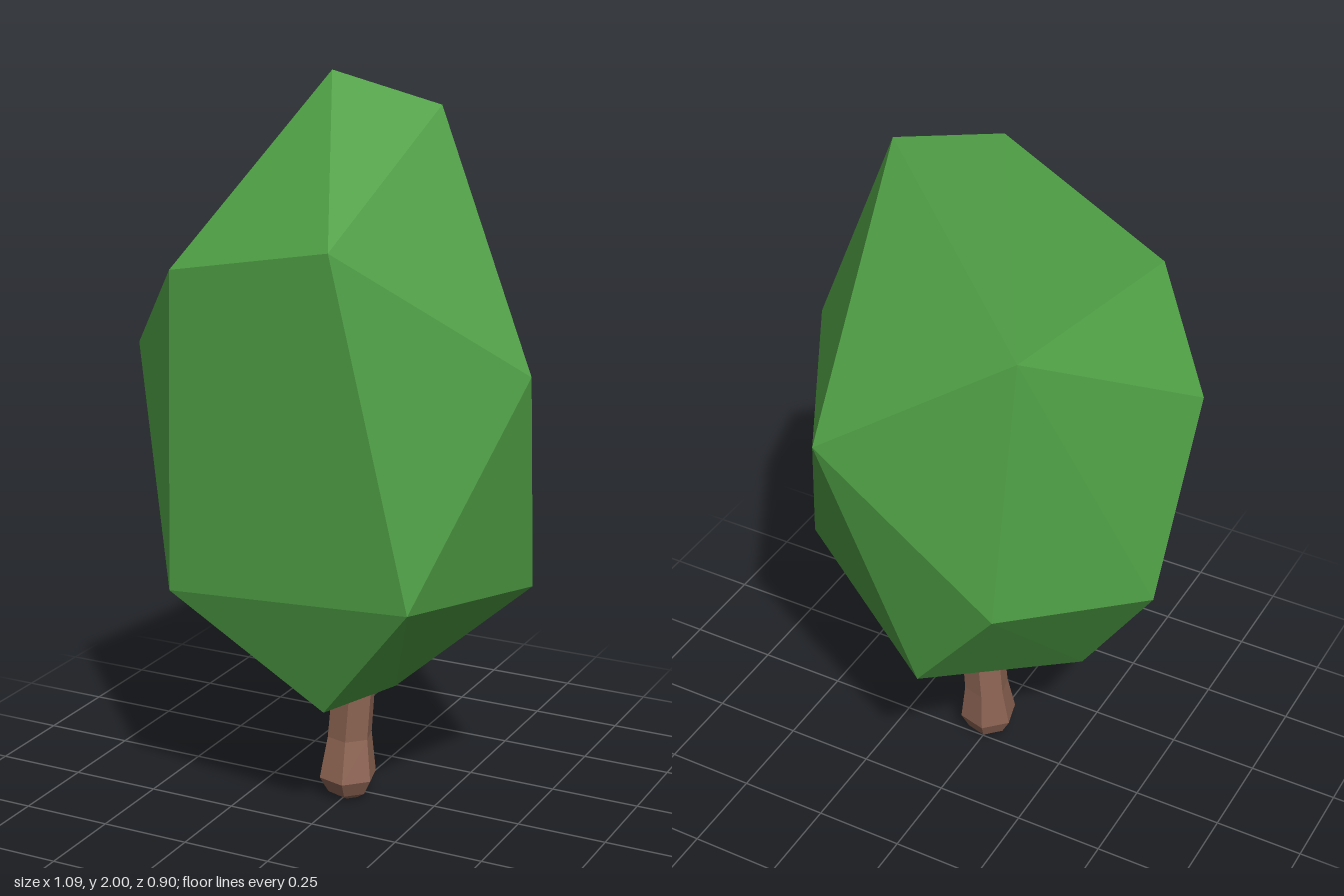
import * as THREE from 'three';

// Flat-shaded mesh from points and triangles; every triangle is turned away from the centre line
function facetMesh(name, points, faces, color, centerAt) {
  const pos = [];
  for (const f of faces) {
    const [a, b, c] = f.map((i) => new THREE.Vector3(...points[i]));
    const normal = b.clone().sub(a).cross(c.clone().sub(a));
    const mid = a.clone().add(b).add(c).divideScalar(3);
    const flip = normal.dot(mid.clone().sub(centerAt(mid))) < 0;
    for (const v of flip ? [a, c, b] : [a, b, c]) pos.push(v.x, v.y, v.z);
  }
  const geo = new THREE.BufferGeometry();
  geo.setAttribute('position', new THREE.Float32BufferAttribute(pos, 3));
  geo.computeVertexNormals();
  const mesh = new THREE.Mesh(geo, new THREE.MeshStandardMaterial({ color, flatShading: true }));
  mesh.name = name;
  return mesh;
}

// Faceted crown: named corners and the facets between them
function createFoliage() {
  const corners = {
    A: [-0.06, 2, 0], B: [0.24, 1.925, -0.025], // peak
    C: [0.157, 1.62, 0.45], D: [-0.335, 1.52, 0.375], // upper front
    E: [-0.333, 0.67, 0.413], F: [0.357, 0.71, 0.413], // lower front
    G: [0.54, 1.27, 0.075], H: [0.488, 0.65, -0.095], // +x side
    I: [-0.545, 1.27, 0.19], J: [-0.54, 0.77, -0.055], // -x side
    K: [0.245, 1.245, -0.45], L: [-0.262, 1.575, -0.31], // upper back
    M: [-0.263, 0.86, -0.437], N: [0.0, 0.51, -0.37], // lower back
    O: [-0.29, 0.37, 0.05], P: [0.063, 0.355, 0.3], Q: [0.12, 0.325, -0.02], // underside
  };
  const facets = 'ACB ADC DEC EFC CGB CFG FHG GHK GKB BKL BLA ALD LID LJI LMJ ' +
    'LMK KHN KNM DIE IJE MNO MOJ JOE EOP EPF FPQ FQH HQN NQO OQP';
  const center = new THREE.Vector3(0, 1.05, 0);
  return facetMesh('foliage', corners, facets.split(' ').map((f) => [...f]), 0x4f9f45, () => center);
}

// Trunk: six-sided rings that flare at the foot and run up into the crown
function createTrunk() {
  const sides = 6;
  const rings = [ // y, centre x, centre z, radius
    [0.0, 0.005, 0.035, 0.03],
    [0.02, 0.005, 0.04, 0.058],
    [0.065, 0.005, 0.042, 0.082],
    [0.18, 0.005, 0.03, 0.064],
    [0.36, 0.02, 0.03, 0.062],
    [0.5, 0.025, 0.03, 0.055],
  ];
  const points = [];
  const faces = [];
  rings.forEach(([y, cx, cz, r], k) => {
    for (let i = 0; i < sides; i++) {
      const a = ((i + 0.25) / sides) * Math.PI * 2;
      points.push([cx + r * Math.cos(a), y, cz + r * Math.sin(a)]);
      if (k === 0) continue;
      const j = (i + 1) % sides;
      const lo = (k - 1) * sides;
      const hi = k * sides;
      faces.push([lo + i, lo + j, hi + i], [lo + j, hi + j, hi + i]);
    }
  });
  // End caps
  const top = (rings.length - 1) * sides;
  for (let i = 1; i < sides - 1; i++) faces.push([0, i, i + 1], [top, top + i, top + i + 1]);
  const axis = (p) => new THREE.Vector3(0.01, THREE.MathUtils.clamp(p.y, 0.06, 0.48), 0.035);
  return facetMesh('trunk', points, faces, 0x8d6453, axis);
}

export function createModel() {
  const tree = new THREE.Group();
  tree.name = 'tree';
  tree.add(createFoliage(), createTrunk());
  return tree;
}
